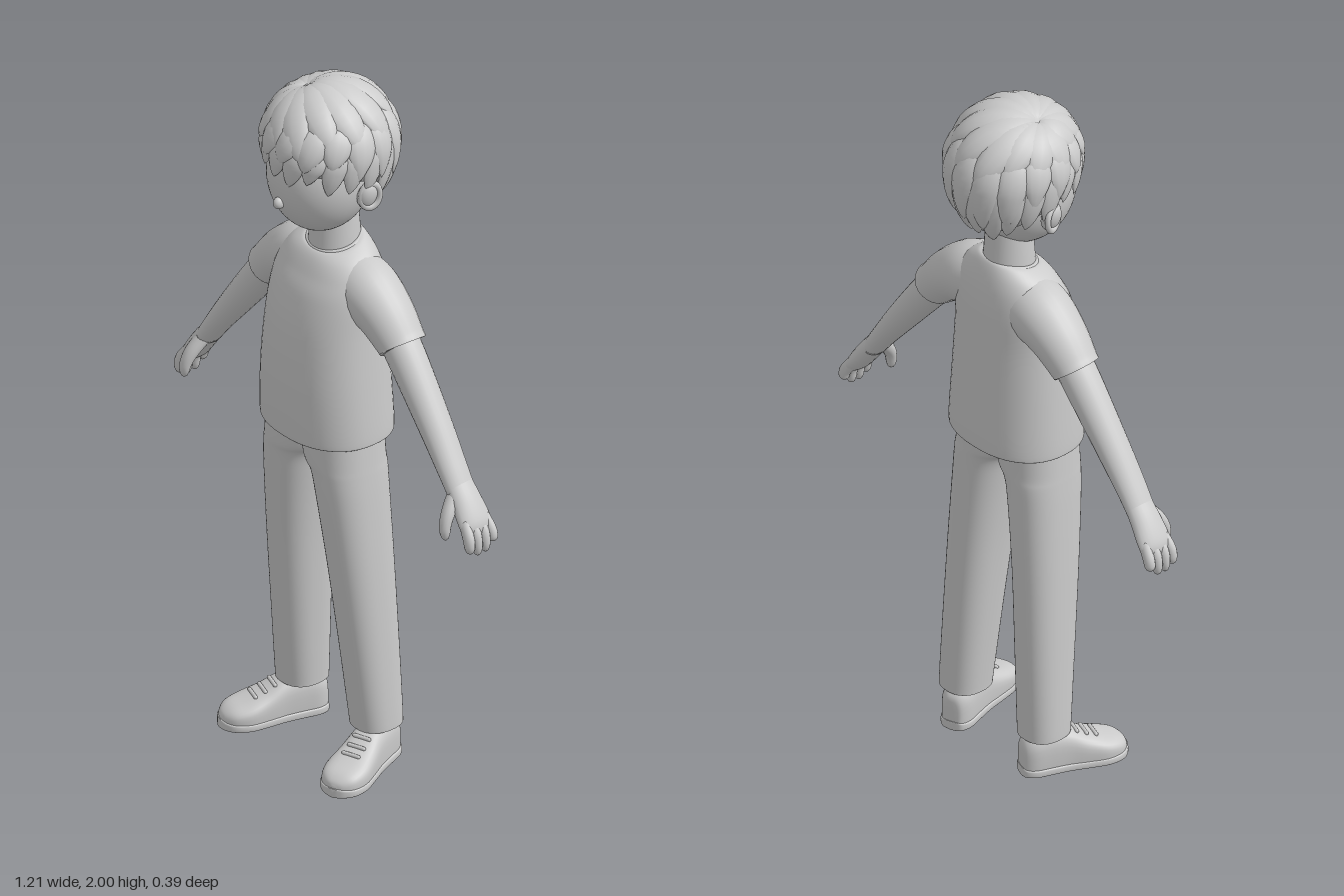
import * as THREE from 'three';

const V = (x, y, z) => new THREE.Vector3(x, y, z);
const material = new THREE.MeshStandardMaterial({ color: 0xcccccc });

function add(parent, geometry, name, x = 0, y = 0, z = 0) {
  const mesh = new THREE.Mesh(geometry, material);
  mesh.name = name;
  mesh.position.set(x, y, z);
  parent.add(mesh);
  return mesh;
}

// Smoothly resample a table of cross-section rows
function resample(rows, count) {
  const spline = new THREE.CubicInterpolant(rows.map((r, i) => i), rows.flat(), rows[0].length);
  return Array.from({ length: count + 1 }, (_, i) => Array.from(spline.evaluate(i / count * (rows.length - 1))));
}

// Closed (super)ellipse around c with half axes u and v; p < 1 is boxier
function ring(c, u, v, p = 1, sides = 32) {
  const pow = (k) => Math.sign(k) * Math.abs(k) ** p;
  return Array.from({ length: sides }, (_, i) => {
    const a = i / sides * Math.PI * 2;
    return c.clone().addScaledVector(u, pow(Math.cos(a))).addScaledVector(v, pow(Math.sin(a)));
  });
}

// Skin a list of rings and cap both ends; winding is corrected by volume
function loft(rings) {
  const n = rings[0].length, m = rings.length, points = rings.flat(), index = [];
  for (const r of [rings[0], rings[m - 1]]) {
    points.push(r.reduce((s, q) => s.add(q), V(0, 0, 0)).divideScalar(n));
  }
  for (let i = 0; i < n; i++) {
    const j = (i + 1) % n;
    for (let k = 0; k < m - 1; k++) {
      const a = k * n + i, b = k * n + j;
      index.push(a, b, a + n, b, b + n, a + n);
    }
    index.push(m * n, j, i, m * n + 1, (m - 1) * n + i, (m - 1) * n + j);
  }
  let volume = 0;
  const o = points[m * n];
  for (let i = 0; i < index.length; i += 3) {
    const [a, b, c] = [0, 1, 2].map((k) => points[index[i + k]].clone().sub(o));
    volume += a.dot(b.cross(c));
  }
  if (volume < 0) index.reverse();
  const geometry = new THREE.BufferGeometry().setFromPoints(points);
  geometry.setIndex(index);
  geometry.computeVertexNormals();
  return geometry;
}

// Limb along rows of [x, y, z, radius in the front plane, radius in z]
function limb(rows, s, count = 16, round = false, sides = 24) {
  const data = resample(rows, count);
  const at = (i) => V(...data[Math.min(Math.max(i, 0), count)].slice(0, 3));
  return loft(data.map(([x, y, z, r, rz], i) => {
    const t = at(i + 1).sub(at(i - 1)).normalize();
    const u = t.clone().cross(V(0, 0, 1)).normalize();
    const v = u.clone().cross(t);
    const f = round ? Math.sqrt(Math.max(1e-4, 1 - Math.max(0, (i / count - 0.72) / 0.28) ** 2)) : 1;
    return ring(V(x, y, z), u.multiplyScalar(r * f), v.multiplyScalar(rz * f), 1, sides)
      .map((q) => q.setX(q.x * s));
  }));
}

// Upright body from rows of [y, xMin, xMax, zFront, zBack, forward drop]
function upright(rows, count, p, s = 1) {
  return loft(resample(rows, count).map(([y, x0, x1, zf, zb, drop]) => {
    const cz = (zf + zb) / 2, hz = (zf - zb) / 2;
    return ring(V(s * (x0 + x1) / 2, y, cz), V((x1 - x0) / 2, 0, 0), V(0, 0, hz), p, 48)
      .map((q) => q.setY(q.y - drop * (q.z - cz) / hz));
  }));
}

// Hair volume: direction to surface point, and the hairline by azimuth (0 = front)
const scalp = (d, k = 1) => V(d.x * 0.167 * k, 1.82 + d.y * (d.y > 0 ? 0.163 : 0.24) * k, d.z * 0.18 * k);
const dir = (theta, phi) => V(Math.sin(theta) * Math.sin(phi), Math.cos(theta), Math.sin(theta) * Math.cos(phi));
const hairline = (phi) => 1.99 - 0.3 * Math.cos(phi) + 0.06 * Math.cos(2 * phi);

// Leaf-shaped lock lying on the scalp from direction a to direction b
function lock(a, b, width, thick, lift) {
  const count = 14, at = (t) => a.clone().lerp(b, t).normalize();
  return loft(Array.from({ length: count + 1 }, (_, i) => {
    const t = i / count, n = at(t), f = Math.max(0.02, Math.sin(Math.PI * t ** 0.8) ** 0.75);
    const tangent = scalp(at(t + 0.02)).sub(scalp(at(t - 0.02))).normalize();
    const side = tangent.cross(n).normalize();
    const c = scalp(n).addScaledVector(n, lift * t - 0.008 * (1 - t));
    return ring(c, side.multiplyScalar(width * f), n.clone().multiplyScalar(thick * f), 1, 12)
      .map((q) => q.addScaledVector(n, -(q.clone().sub(c).dot(side.clone().normalize()) ** 2) / 0.36));
  }));
}

function buildHair() {
  const hair = new THREE.Group();
  hair.name = 'hair';
  const cap = [];
  for (let k = 0; k <= 16; k++) {
    cap.push(Array.from({ length: 48 }, (_, i) => {
      const phi = i / 48 * Math.PI * 2;
      return scalp(dir(0.01 + k / 16 * (hairline(phi) - 0.15), phi), 0.99);
    }));
  }
  add(hair, loft(cap), 'hairCap');
  // Two rings of hanging locks, then the crown swirling out from the whorl
  const layers = [[19, 1.15, 0.03, 0.036, 0.014, 0.0], [15, 0.75, -0.24, 0.045, 0.018, 0.006]];
  layers.forEach(([n, start, reach, width, thick, lift], l) => {
    for (let i = 0; i < n; i++) {
      const phi = (i + l * 0.5) / n * Math.PI * 2;
      const end = hairline(phi) + reach + 0.06 * Math.sin(i * 2.4);
      add(hair, lock(dir(start, phi + 0.12), dir(end, phi - 0.1), width, thick, lift), 'hairLock');
    }
  });
  const whorl = V(-0.42, 1, 0.15).normalize();
  for (let i = 0; i < 13; i++) {
    const phi = i / 13 * Math.PI * 2;
    const end = dir(1.3 + 0.12 * Math.sin(i * 2.1), phi);
    add(hair, lock(whorl, end, 0.052, 0.02, 0.006), 'crownLock');
  }
  return hair;
}

function buildShoe(s) {
  const shoe = new THREE.Group();
  shoe.name = 'shoe';
  // Length stations: z, half width, height
  const rows = [[-0.105, 0.008, 0.07], [-0.1, 0.028, 0.1], [-0.075, 0.042, 0.122], [-0.03, 0.045, 0.128],
    [0.02, 0.048, 0.118], [0.07, 0.056, 0.092], [0.12, 0.062, 0.073], [0.16, 0.052, 0.06],
    [0.182, 0.03, 0.045], [0.19, 0.006, 0.03]];
  const stations = resample(rows, 36);
  add(shoe, loft(stations.map(([z, w, h]) => ring(V(0, h / 2, z), V(w, 0, 0), V(0, h / 2, 0), 0.75)
    .map((q) => q.setY(q.y < h / 2 ? Math.max(0.004, q.y * 0.6) : q.y)))), 'shoeUpper');
  add(shoe, loft(stations.map(([z, w]) => ring(V(0, 0.013, z * 1.015), V(w + 0.003, 0, 0), V(0, 0.013, 0), 0.4))), 'sole');
  for (const [z, y] of [[0.045, 0.106], [0.072, 0.092], [0.099, 0.081]]) {
    const lace = add(shoe, new THREE.CapsuleGeometry(0.0055, 0.045, 4, 10), 'lace', 0, y, z);
    lace.rotation.z = Math.PI / 2;
  }
  const collar = add(shoe, new THREE.TorusGeometry(0.04, 0.008, 10, 32), 'shoeCollar', 0, 0.12, -0.035);
  collar.rotation.x = Math.PI / 2;
  collar.scale.y = 1.25;
  shoe.position.set(s * 0.168, 0, 0);
  shoe.rotation.y = s * 0.33;
  return shoe;
}

export function createModel() {
  const model = new THREE.Group();
  model.name = 'standingBoy';

  // Head
  const head = new THREE.SphereGeometry(1, 48, 32);
  add(model, head, 'head', 0, 1.75, 0.03).scale.set(0.138, 0.175, 0.145);
  add(model, new THREE.SphereGeometry(1, 20, 14), 'nose', 0, 1.695, 0.17).scale.set(0.014, 0.017, 0.017);
  add(model, new THREE.CylinderGeometry(0.06, 0.072, 0.16, 32), 'neck', 0, 1.57, -0.018);
  model.add(buildHair());

  // Shirt body and neckline
  add(model, upright([
    [0.99, -0.165, 0.165, 0.135, -0.12, 0], [0.986, -0.184, 0.184, 0.153, -0.138, 0],
    [1.0, -0.189, 0.189, 0.16, -0.144, 0], [1.15, -0.181, 0.181, 0.162, -0.138, 0],
    [1.3, -0.172, 0.172, 0.149, -0.13, 0], [1.4, -0.168, 0.168, 0.124, -0.125, 0],
    [1.46, -0.155, 0.155, 0.096, -0.116, 0.003], [1.5, -0.127, 0.127, 0.076, -0.104, 0.008],
    [1.525, -0.09, 0.09, 0.06, -0.09, 0.015], [1.53, -0.07, 0.07, 0.048, -0.078, 0.017]], 54, 0.88), 'shirtBody');
  const neckline = add(model, new THREE.TorusGeometry(1, 0.09, 10, 48), 'neckline', 0, 1.526, -0.015);
  neckline.scale.set(0.073, 0.066, 0.06);
  neckline.rotation.x = Math.PI / 2 + 0.22;

  for (const s of [1, -1]) {
    const ear = add(model, new THREE.SphereGeometry(1, 24, 16), 'ear', s * 0.148, 1.72, -0.005);
    ear.scale.set(0.022, 0.042, 0.03);
    ear.rotation.z = -s * 0.25;
    const rim = add(model, new THREE.TorusGeometry(0.027, 0.008, 10, 24), 'earRim', s * 0.158, 1.722, -0.007);
    rim.rotation.y = Math.PI / 2 - s * 0.3;
    rim.scale.y = 1.3;

    // Sleeve and arm
    add(model, limb([[0.06, 1.43, -0.02, 0.085, 0.08], [0.13, 1.414, -0.022, 0.088, 0.086],
      [0.2, 1.375, -0.024, 0.074, 0.078], [0.258, 1.322, -0.025, 0.062, 0.068],
      [0.268, 1.312, -0.025, 0.06, 0.066], [0.266, 1.314, -0.025, 0.05, 0.056]], s, 30), 'sleeve');
    add(model, limb([[0.21, 1.37, -0.024, 0.05, 0.054], [0.285, 1.285, -0.024, 0.05, 0.053],
      [0.395, 1.145, -0.022, 0.041, 0.048], [0.47, 1.045, -0.02, 0.032, 0.044],
      [0.512, 0.985, -0.02, 0.027, 0.042]], s, 24), 'arm');

    // Hand
    const hand = new THREE.Group();
    hand.name = 'hand';
    add(hand, limb([[0.495, 1.01, -0.02, 0.027, 0.04], [0.53, 0.965, -0.021, 0.028, 0.045],
      [0.562, 0.92, -0.022, 0.025, 0.05], [0.586, 0.88, -0.022, 0.018, 0.046]], s, 16, true), 'palm');
    [[-0.06, 0.855], [-0.035, 0.832], [-0.009, 0.83], [0.016, 0.843]].forEach(([z, tip]) => {
      add(hand, limb([[0.56, 0.925, z * 0.85 - 0.003, 0.017, 0.0145], [0.586, 0.885, z, 0.017, 0.0145],
        [0.592, tip, z, 0.014, 0.013]], s, 16, true, 14), 'finger');
    });
    add(hand, limb([[0.51, 0.985, 0, 0.02, 0.02], [0.522, 0.945, 0.032, 0.02, 0.018],
      [0.528, 0.91, 0.048, 0.017, 0.015], [0.532, 0.87, 0.05, 0.014, 0.013]], s, 16, true, 14), 'thumb');
    model.add(hand);

    // Trouser leg, overlapping its twin at the hips
    add(model, upright([[0.118, 0.1, 0.2, 0.02, -0.085, 0], [0.121, 0.087, 0.212, 0.034, -0.099, 0],
      [0.135, 0.085, 0.215, 0.037, -0.101, 0], [0.35, 0.07, 0.207, 0.06, -0.098, 0],
      [0.6, 0.05, 0.197, 0.087, -0.093, 0], [0.8, 0.026, 0.187, 0.108, -0.09, 0],
      [0.88, 0.01, 0.182, 0.115, -0.09, 0], [0.92, -0.02, 0.179, 0.119, -0.09, 0],
      [1.02, -0.04, 0.172, 0.12, -0.09, 0]], 48, 0.85, s), 'trouserLeg');
    model.add(buildShoe(s));
  }
  // Crotch bridging the legs
  add(model, new THREE.SphereGeometry(1, 32, 20), 'trouserSeat', 0, 0.97, 0.013).scale.set(0.12, 0.068, 0.098);
  return model;
}
